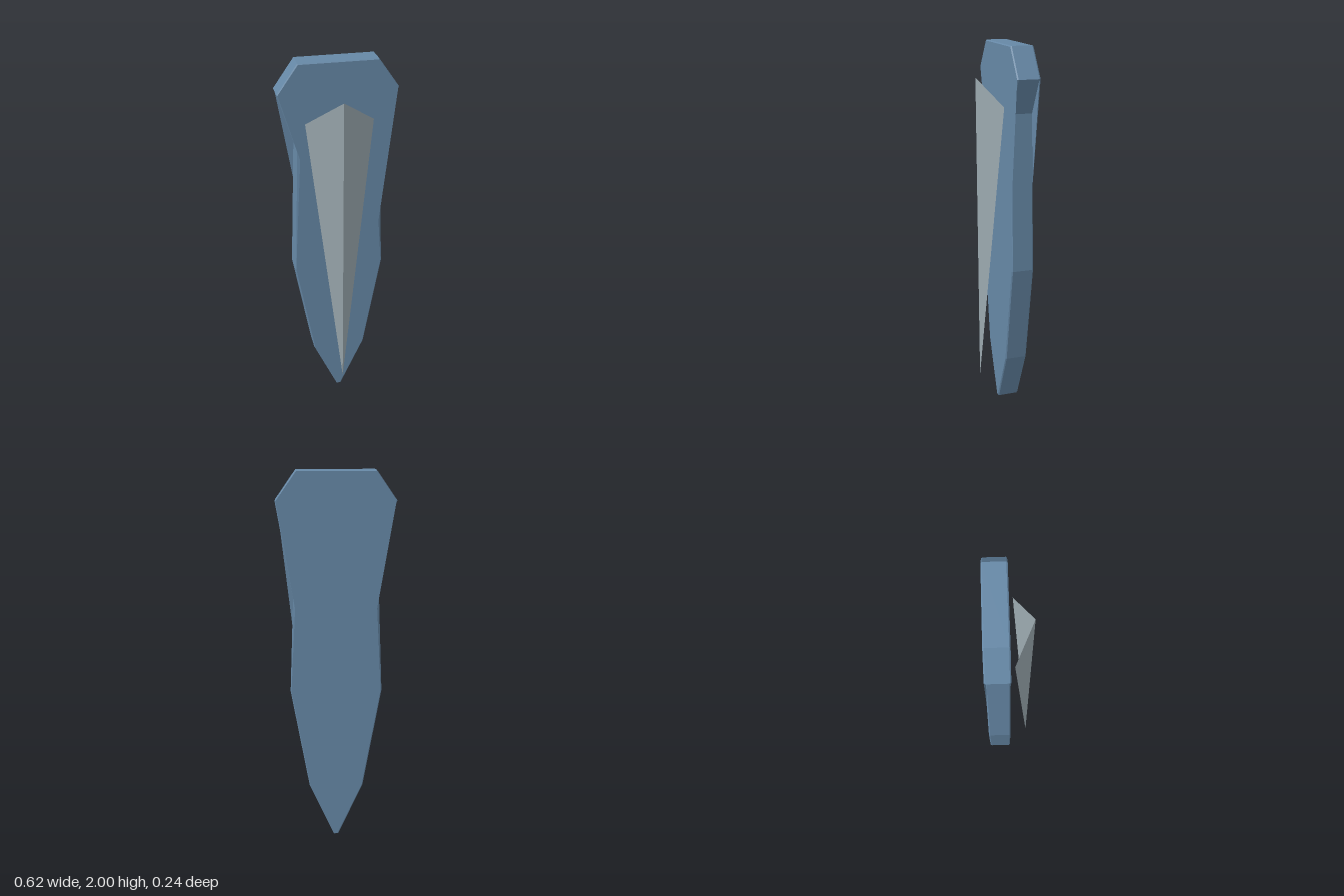
import * as THREE from 'three';

const blue = new THREE.MeshStandardMaterial({ color: 0x6688a6 });
blue.name = 'steel blue';
blue.flatShading = true;
const grey = new THREE.MeshStandardMaterial({ color: 0x9caab0, side: THREE.DoubleSide });
grey.name = 'pale grey';
grey.flatShading = true;

// Counter-clockwise outline of the plate, with its own right and left waist points.
function outline(waistRight, waistLeft, inset) {
  const half = [
    [0.012 - inset, inset],
    [0.146 - inset, 0.3],
    [0.243 - inset, 0.85],
    null, // waist
    [0.308 - inset, 1.85],
    [0.202 - inset * 0.5, 2 - inset],
  ];
  const right = half.map((p) => p || waistRight);
  const left = half.map((p) => (p ? [-p[0], p[1]] : waistLeft)).reverse();
  return [...right, ...left].map(([x, y]) => new THREE.Vector2(x, y));
}

// Skin consecutive outlines from front to back and close both ends.
function loft(rings) {
  const n = rings[0].points.length;
  const positions = rings.flatMap(({ points, z }) => points.flatMap((p) => [p.x, p.y, z]));
  const index = [];
  for (let r = 0; r < rings.length - 1; r++) {
    for (let i = 0; i < n; i++) {
      const j = (i + 1) % n;
      const a = r * n + i, b = r * n + j, c = a + n, d = b + n;
      index.push(a, c, b, b, c, d);
    }
  }
  const last = (rings.length - 1) * n;
  for (const [a, b, c] of THREE.ShapeUtils.triangulateShape(rings[0].points, [])) index.push(a, b, c);
  for (const [a, b, c] of THREE.ShapeUtils.triangulateShape(rings[rings.length - 1].points, [])) {
    index.push(last + a, last + c, last + b);
  }
  const geometry = new THREE.BufferGeometry();
  geometry.setAttribute('position', new THREE.Float32BufferAttribute(positions, 3));
  geometry.setIndex(index);
  const flat = geometry.toNonIndexed();
  flat.computeVertexNormals();
  return flat;
}

// Pointed plate: bevelled faces whose waists sit lower than the waist of the side wall.
function createPlate() {
  const wall = outline([0.21, 1.67], [-0.21, 1.67], 0);
  const geometry = loft([
    { points: outline([0.22, 1.1], [-0.2, 1.5], 0.005), z: 0 },
    { points: wall, z: -0.006 },
    { points: wall, z: -0.112 },
    { points: outline([0.213, 1.3], [-0.213, 1.3], 0.005), z: -0.119 },
  ]);
  const plate = new THREE.Mesh(geometry, blue);
  plate.name = 'plate';
  return plate;
}

// Folded thin blade: two triangles meeting at a central ridge.
function createRidge() {
  const top = [0, 1.83, 0.118], tip = [0, 0.15, 0.105];
  const geometry = new THREE.BufferGeometry();
  geometry.setAttribute('position', new THREE.Float32BufferAttribute([
    ...top, -0.175, 1.7, 0.022, ...tip,
    ...top, ...tip, 0.175, 1.7, 0.022,
  ], 3));
  geometry.computeVertexNormals();
  const ridge = new THREE.Mesh(geometry, grey);
  ridge.name = 'foldedRidge';
  return ridge;
}

export function createModel() {
  const model = new THREE.Group();
  model.name = 'pointedPlate';
  model.add(createPlate(), createRidge());
  return model;
}
